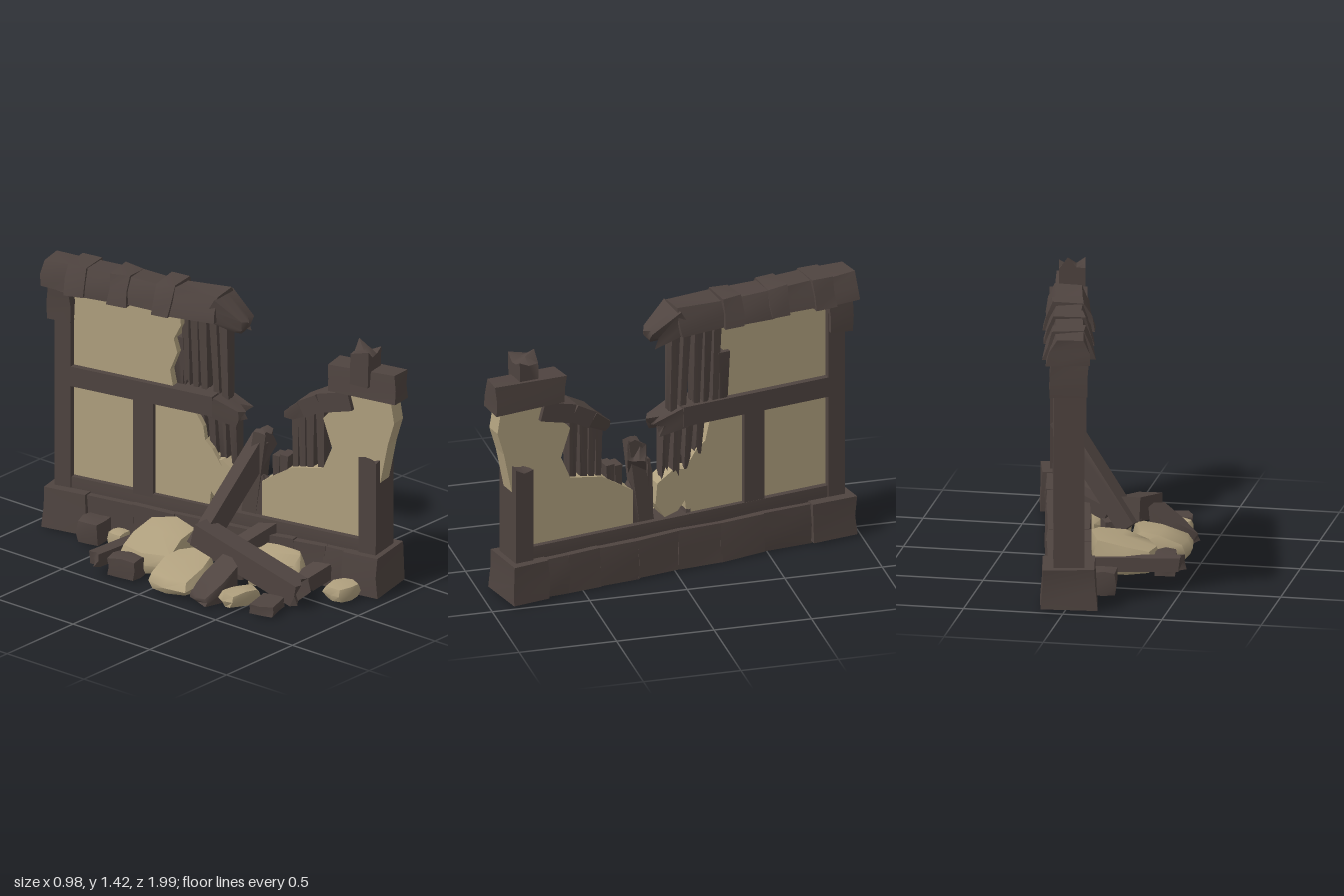
import * as THREE from 'three';
import { toCreasedNormals } from 'three/addons/utils/BufferGeometryUtils.js';

const timber = new THREE.MeshStandardMaterial({ color: 0x4f4440 });
timber.name = 'dark timber';
const plaster = new THREE.MeshStandardMaterial({ color: 0xb0a07e });
plaster.name = 'tan plaster';

// Repeatable noise in -1..1 from a position and a seed
function noise(x, y, z, seed) {
  const s = Math.sin(Math.round(x * 1e3) * 1.37 + Math.round(y * 1e3) * 2.71 + Math.round(z * 1e3) * 0.83 + seed * 7.77) * 4375.85;
  return (s - Math.floor(s)) * 2 - 1;
}

function warp(geo, rule) {
  const p = geo.attributes.position;
  const v = new THREE.Vector3();
  for (let i = 0; i < p.count; i++) {
    v.fromBufferAttribute(p, i);
    rule(v);
    p.setXYZ(i, v.x, v.y, v.z);
  }
  return toCreasedNormals(geo, 0.85);
}

function add(parent, name, geo, mat) {
  const m = new THREE.Mesh(geo, mat);
  m.name = name;
  parent.add(m);
  return m;
}

let seed = 1;

// Rough-hewn block; the sides curve in towards the top by the taper factor
function block(parent, name, pos, size, taper = 1, rough = 0.008) {
  const s = seed++;
  const geo = warp(new THREE.BoxGeometry(...size, 1, 2, 1), v => {
    const { x, y, z } = v;
    const up = Math.max(0, y / size[1] + 0.5);
    v.x *= 1 - (1 - taper) * Math.pow(up, 1.6);
    v.x += noise(x, y, z, s) * rough;
    v.y += noise(x, y, z, s + 50) * rough;
    v.z += noise(x, y, z, s + 90) * rough;
  });
  add(parent, name, geo, timber).position.set(...pos);
}

// Timber from a to b: w across, h deep, splintered at b, narrowed by taper
function beam(parent, name, a, b, w, h, jag = 0, taper = 1) {
  const s = seed++;
  const A = new THREE.Vector3(...a), B = new THREE.Vector3(...b);
  const len = A.distanceTo(B);
  const geo = warp(new THREE.BoxGeometry(w, h, len, 3, 2, 1), v => {
    const { x, y, z } = v;
    if (z > 0) {
      v.x *= taper;
      v.y *= taper;
      v.z += noise(x, y, 0, s) * jag;
    }
  });
  const m = add(parent, name, geo, timber);
  m.position.copy(A).add(B).multiplyScalar(0.5);
  m.quaternion.setFromRotationMatrix(new THREE.Matrix4().lookAt(B, A, new THREE.Vector3(0, 1, 0)));
}

// Plaster slab from a [z, y] outline, at x in the wall
function slab(parent, name, pts, thick, x = 0) {
  const shape = new THREE.Shape(pts.map(p => new THREE.Vector2(...p)));
  const geo = new THREE.ExtrudeGeometry(shape, { depth: thick, bevelEnabled: false });
  geo.translate(0, 0, -thick / 2).rotateY(-Math.PI / 2);
  add(parent, name, geo, plaster).position.x = x;
}

// Chunk of rubble on the ground: [x, z, width, height, depth, turn, slope towards -x]
function rubble(parent, name, [x, z, w, h, d, turn = 0, slope = 0], mat, round) {
  const s = seed++;
  const geo = warp(new THREE.BoxGeometry(1, 1, 1, 2, 2, 2), v => {
    const { x: a, y: b, z: c } = v;
    const k = 1 - round * Math.max(0, v.length() - 0.5);
    v.set(a * k + noise(a, b, c, s) * 0.05, b * k + noise(a, b, c, s + 9) * 0.05, c * k + noise(a, b, c, s + 5) * 0.05);
    const up = (Math.max(v.y, -0.42) + 0.42) / 0.92;
    v.set(v.x * w, up * h * (1 + slope * (v.x - 0.4)), v.z * d);
  });
  const m = add(parent, name, geo, mat);
  m.position.set(x, 0.01, z);
  m.rotation.y = turn;
}

function createModel() {
  const model = new THREE.Group();
  model.name = 'ruinedWall';

  // The wall runs along its own z axis and is turned a little
  const wall = new THREE.Group();
  wall.name = 'wall';
  wall.position.x = 0.168;
  wall.rotation.y = Math.atan(0.2);
  wall.scale.z = 1.02;
  model.add(wall);

  // Foundation blocks, wider at both ends
  const cuts = [-0.945, -0.72, -0.46, -0.23, 0, 0.22, 0.43, 0.6, 0.72, 0.905];
  for (let i = 0; i < cuts.length - 1; i++) {
    const end = i === 0 || i === cuts.length - 2;
    const d = cuts[i + 1] - cuts[i];
    block(wall, 'foundationBlock', [0, end ? 0.113 : 0.111, (cuts[i] + cuts[i + 1]) / 2],
      [end ? 0.275 : 0.23, 0.205, d + 0.008], 0.94, 0.006);
  }

  // Timber frame
  block(wall, 'sill', [0, 0.24, -0.02], [0.15, 0.08, 1.6], 1, 0.003);
  beam(wall, 'frontPost', [0, 0.2, 0.83], [0, 0.705, 0.83], 0.18, 0.095, 0.03);
  beam(wall, 'backPost', [0, 0.2, -0.87], [0, 1.3, -0.87], 0.155, 0.09);
  block(wall, 'backPostHead', [0, 1.19, -0.885], [0.19, 0.16, 0.12]);
  beam(wall, 'stud', [0, 0.26, -0.425], [0, 0.78, -0.425], 0.15, 0.11);
  beam(wall, 'middleRail', [0, 0.815, -0.83], [0, 0.815, -0.04], 0.155, 0.105);
  beam(wall, 'middleRailEnd', [0, 0.81, -0.05], [0, 0.77, 0.08], 0.155, 0.11, 0.03, 0.75);

  // Capping beam, with broader collars
  const caps = [-0.965, -0.83, -0.74, -0.59, -0.51, -0.34, -0.26, -0.02];
  for (let i = 0; i < caps.length - 1; i++) {
    const collar = i % 2 === 1;
    block(wall, 'capBlock', [0, collar ? 1.342 : 1.338, (caps[i] + caps[i + 1]) / 2],
      [collar ? 0.255 : 0.22, collar ? 0.142 : 0.132, caps[i + 1] - caps[i] + 0.02], 0.6, 0.008);
  }
  beam(wall, 'capBrokenEnd', [0, 1.34, -0.05], [0, 1.255, 0.1], 0.19, 0.13, 0.035, 0.6);

  // Plaster panels
  slab(wall, 'lowerBackPanel', [[-0.84, 0.26], [-0.46, 0.26], [-0.46, 0.78], [-0.84, 0.78]], 0.09);
  slab(wall, 'upperPanel', [[-0.84, 0.84], [-0.27, 0.84], [-0.29, 0.95], [-0.25, 1.05], [-0.27, 1.12], [-0.23, 1.2], [-0.24, 1.3], [-0.84, 1.3]], 0.09);
  slab(wall, 'tornMiddlePanel', [[-0.4, 0.26], [-0.07, 0.26], [-0.06, 0.35], [-0.02, 0.3], [0.05, 0.28], [0.1, 0.36],
    [0.09, 0.47], [0, 0.53], [-0.06, 0.52], [-0.12, 0.61], [-0.17, 0.65], [-0.2, 0.78], [-0.4, 0.78]], 0.1);
  slab(wall, 'tornBackSkin', [[-0.3, 0.5], [0, 0.5], [-0.05, 0.58], [-0.09, 0.62], [-0.1, 0.69], [-0.15, 0.77], [-0.3, 0.77]], 0.03, -0.04);
  slab(wall, 'tornFrontPanel', [[0.22, 0.26], [0.8, 0.26], [0.86, 0.5], [0.9, 0.7], [0.92, 0.8], [0.955, 0.92], [0.935, 1.04],
    [0.72, 1.04], [0.63, 0.95], [0.56, 0.87], [0.61, 0.72], [0.56, 0.6], [0.39, 0.57], [0.28, 0.5], [0.22, 0.46]], 0.09);

  // Broken front corner: head block, spike and sagging rail
  block(wall, 'cornerHead', [0, 1.105, 0.785], [0.14, 0.15, 0.37], 0.88, 0.01);
  beam(wall, 'cornerSpike', [-0.02, 1.1, 0.78], [-0.02, 1.295, 0.785], 0.13, 0.1, 0.045);
  const rail = [[0, 1.0, 0.72], [0, 0.955, 0.55], [0, 0.9, 0.45], [0, 0.84, 0.36]];
  for (let i = 0; i < 3; i++) {
    beam(wall, 'saggingRail', rail[i], rail[i + 1], 0.14, 0.1 - i * 0.01, i === 2 ? 0.025 : 0, i === 2 ? 0.7 : 1);
  }

  // Splintered laths: [z top, y top, z bottom, y bottom, width, x]
  const laths = [
    [-0.01, 1.29, 0.0, 0.84, 0.045, 0.015], [-0.07, 1.29, -0.05, 0.85, 0.04, 0.02], [-0.13, 1.29, -0.12, 0.85, 0.045, 0.025],
    [-0.18, 1.29, -0.17, 0.86, 0.04, 0.03], [-0.23, 1.29, -0.22, 0.86, 0.04, 0.03], [-0.265, 1.12, -0.265, 0.86, 0.06, 0.03],
    [0.04, 0.78, 0.05, 0.52, 0.04, 0.02], [-0.02, 0.78, -0.01, 0.5, 0.045, 0.02], [-0.08, 0.78, -0.07, 0.56, 0.04, 0.025],
    [-0.14, 0.78, -0.13, 0.6, 0.04, 0.025], [0.54, 0.9, 0.54, 0.56, 0.045, 0], [0.485, 0.9, 0.48, 0.57, 0.045, 0],
    [0.435, 0.87, 0.44, 0.56, 0.04, 0], [0.4, 0.84, 0.4, 0.54, 0.035, 0], [0.34, 0.62, 0.33, 0.46, 0.045, 0], [0.295, 0.61, 0.29, 0.44, 0.04, 0],
  ];
  for (const [z1, y1, z2, y2, w, x] of laths) {
    beam(wall, 'lath', [x, y1, z1], [x, y2, z2], 0.08, w, 0.04, 0.75);
  }
  beam(wall, 'brokenStud', [0, 0.24, 0.14], [0, 0.69, 0.2], 0.09, 0.08, 0.04, 0.85);
  beam(wall, 'brokenStud', [0, 0.24, 0.19], [0, 0.47, 0.215], 0.09, 0.05, 0.04, 0.7);
  beam(wall, 'brokenStud', [0, 0.24, 0.13], [0, 0.56, 0.115], 0.08, 0.045, 0.04, 0.6);
  beam(wall, 'brokenStud', [0.01, 0.25, -0.075], [0.01, 0.35, -0.08], 0.1, 0.03, 0.02, 0.6);

  // Fallen timbers
  beam(model, 'leaningBeam', [-0.13, 0.15, 0.07], [0.25, 0.67, 0.19], 0.09, 0.1, 0.03);
  beam(model, 'fallenBeam', [-0.12, 0.24, 0.07], [-0.105, 0.08, 0.7], 0.115, 0.12, 0.05);
  beam(model, 'groundBeam', [0.02, 0.07, -0.33], [-0.47, 0.095, -0.32], 0.07, 0.07, 0.02);
  beam(model, 'groundPlank', [0.2, 0.24, 0.3], [0.01, 0.17, 0.24], 0.09, 0.07, 0.02);
  beam(model, 'groundPlank', [0.2, 0.09, 0.62], [0.06, 0.05, 0.59], 0.1, 0.08, 0.015);

  // Plaster rubble
  const stones = [
    [-0.15, -0.17, 0.36, 0.21, 0.35, 0.2, 0.5], [-0.29, 0.1, 0.3, 0.17, 0.27, 0.1, 0.6], [0.07, 0.4, 0.25, 0.19, 0.31, 0.5, 0.4],
    [-0.27, 0.46, 0.22, 0.08, 0.12, -0.25], [0.11, 0.8, 0.17, 0.08, 0.14, -0.1], [-0.09, -0.48, 0.1, 0.08, 0.1],
  ];
  stones.forEach(s => rubble(model, 'plasterRubble', s, plaster, 0.75));

  // Timber rubble
  const stumps = [
    [-0.36, -0.2, 0.11, 0.1, 0.16, 0.15], [-0.3, 0.32, 0.21, 0.17, 0.16, -0.3, 0.9], [-0.25, 0.62, 0.17, 0.05, 0.13, 0.3],
    [-0.13, -0.61, 0.13, 0.12, 0.13, 0.15], [-0.02, 0.2, 0.12, 0.14, 0.14, 0.4],
  ];
  stumps.forEach(s => rubble(model, 'timberRubble', s, timber, 0.2));

  return model;
}

export { createModel };
